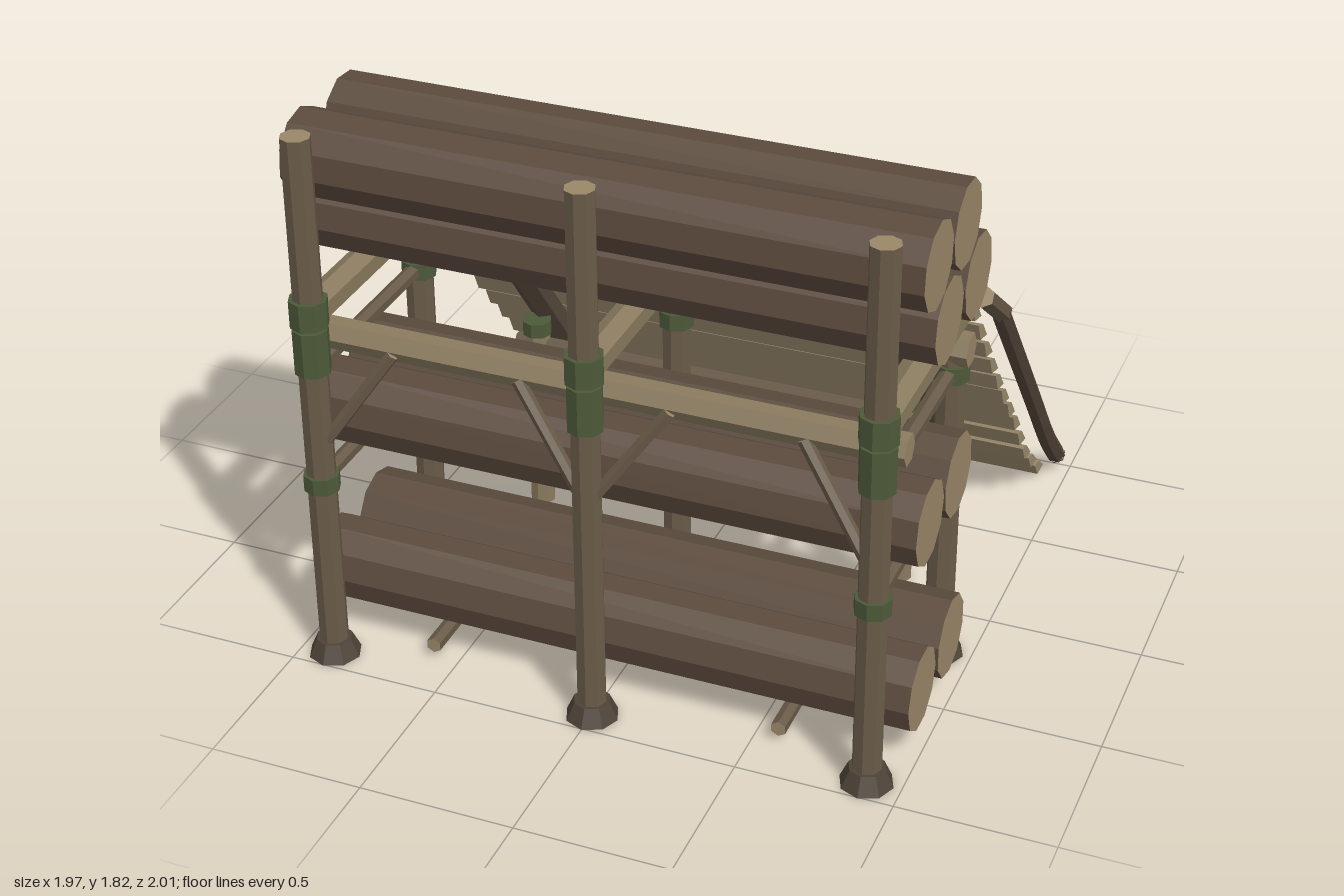
import * as THREE from 'three';

const mat = (color, side = THREE.FrontSide) =>
  new THREE.MeshStandardMaterial({ color, flatShading: true, side });
const bark = mat(0x5c4b3e), cut = mat(0x9a8768), post = mat(0x695b48), beam = mat(0x8a7b5f);
const plank = mat(0x9a8a6d), dark = mat(0x55473a), binding = mat(0x4c5938), foot = mat(0x4e4338);
const V = (x, y, z) => new THREE.Vector3(x, y, z);

export function createModel() {
  const root = new THREE.Group();

  const add = (name, geometry, material) => {
    const m = new THREE.Mesh(geometry, material);
    m.name = name;
    root.add(m);
    return m;
  };
  // Round timber between two points, with paler sawn ends
  const rod = (name, a, b, r, sides, material, r2 = r, ends = cut) => {
    const d = b.clone().sub(a);
    const m = add(name, new THREE.CylinderGeometry(r2, r, d.length(), sides), [material, ends, ends]);
    m.position.copy(a).add(b).multiplyScalar(0.5);
    m.quaternion.setFromUnitVectors(V(0, 1, 0), d.normalize());
    return m;
  };
  const wrap = (name, x, y, z, r, h) =>
    rod(name, V(x, y - h / 2, z), V(x, y + h / 2, z), r, 8, binding, r, binding);

  // Stacked logs
  const logs = [[0.70, 0.215], [0.41, 0.215], [0.70, 0.81], [0.42, 0.81],
    [0.60, 1.43], [0.315, 1.43], [0.73, 1.67], [0.455, 1.665]];
  logs.forEach(([z, y], i) => {
    const log = rod('log', V(-0.985, y, z), V(0.985, y, z), 0.135, 10, bark);
    log.rotateY(i * 0.35);
  });

  // Rack posts, feet and top beams
  for (const x of [-0.89, 0, 0.89]) {
    rod('frontPost', V(x, 0, 0.92), V(x, 1.815, 0.92), 0.047, 8, post);
    rod('backPost', V(x, 0, 0.215), V(x, 1.12, 0.215), 0.047, 8, post);
    for (const z of [0.92, 0.215])
      rod('postFoot', V(x, 0, z), V(x, 0.06, z), 0.085, 8, foot, 0.058, foot);
    rod('topBeam', V(x, 1.235, 0.9), V(x, 1.235, 0.16), 0.052, 6, beam);
    wrap('upperBinding', x, 1.24, 0.92, 0.061, 0.09);
    wrap('upperBinding', x, 1.11, 0.92, 0.057, 0.15);
    wrap('backBinding', x, 1.04, 0.215, 0.058, 0.055);
  }

  // Side shelf beams
  for (const x of [-0.89, 0.89]) {
    for (const y of [1.04, 0.65])
      rod('shelfBeam', V(x, y, 0.92), V(x, y, 0.18), 0.026, 6, post);
    for (const z of [0.92, 0.215]) wrap('shelfBinding', x, 0.648, z, 0.058, 0.055);
  }

  // Cross beams along the rack
  rod('frontCrossBeam', V(-0.95, 1.12, 0.82), V(0.95, 1.12, 0.82), 0.05, 6, beam);
  rod('backCrossBeam', V(-0.95, 1.12, 0.22), V(0.95, 1.12, 0.22), 0.055, 6, beam);

  // Diagonal braces on the front posts
  for (const s of [-1, 1]) {
    rod('centreBrace', V(s * 0.02, 0.8, 0.92), V(s * 0.24, 1.11, 0.86), 0.021, 6, post);
    rod('sideBrace', V(s * 0.86, 0.8, 0.92), V(s * 0.65, 1.11, 0.86), 0.021, 6, post);
  }

  for (const s of [-1, 1]) {
    // Ground skids, ramp stringers and ramp posts
    rod('groundSkid', V(s * 0.58, 0.05, 0.84), V(s * 0.58, 0.05, 0.28), 0.026, 6, post);
    const x = s * 0.645;
    rod('rampStringer', V(x, 1.2, 0.165), V(x, 0.2, -0.61), 0.052, 6, dark);
    rod('rampPost', V(x, 0, -0.14), V(x, 0.7, -0.14), 0.043, 8, beam);
    rod('rampPost', V(x, 0, -0.48), V(x, 0.3, -0.48), 0.04, 8, beam);
    wrap('rampPostBinding', x, 0.685, -0.135, 0.05, 0.05);
    wrap('rampPostBinding', x, 0.275, -0.475, 0.05, 0.05);

    // Curved ramp side rail
    const rx = s * 0.952;
    rod('railTop', V(rx, 1.255, 0.125), V(rx, 1.085, -0.1), 0.035, 6, post);
    const path = [[1.1, -0.08], [0.86, -0.28], [0.5, -0.58], [0.2, -0.83], [0.055, -0.975]];
    const curve = new THREE.CatmullRomCurve3(path.map(([y, z]) => V(rx, y, z)));
    add('rampRail', new THREE.TubeGeometry(curve, 14, 0.033, 6), dark);
    const end = curve.getPoint(1), dir = curve.getTangent(1);
    rod('railEnd', end.clone().addScaledVector(dir, -0.01),
      end.clone().addScaledVector(dir, 0.004), 0.033, 6, dark);
  }
  rod('rampTie', V(-0.72, 0.62, -0.14), V(0.72, 0.62, -0.14), 0.022, 6, post);
  rod('rampTie', V(-0.72, 0.2, -0.48), V(0.72, 0.2, -0.48), 0.022, 6, post);

  // Ramp slats, overlapping like louvres and flattening towards the ground
  const slatShape = new THREE.Shape([[0.052, 0.035], [0.02, -0.032], [-0.052, -0.05], [0, 0.014]]
    .map(([u, v]) => new THREE.Vector2(u, v)));
  const slatGeo = new THREE.ExtrudeGeometry(slatShape, { depth: 1.83, bevelEnabled: false });
  slatGeo.translate(0, 0, -0.915).rotateY(-Math.PI / 2);
  const slatLine = new THREE.CatmullRomCurve3([V(0, 1.165, 0.05), V(0, 1.055, -0.03),
    V(0, 0.71, -0.3), V(0, 0.43, -0.54), V(0, 0.235, -0.69), V(0, 0.06, -0.885)]);
  for (let i = 0; i < 12; i++) {
    const slat = add('rampSlat', slatGeo, plank);
    slat.position.copy(slatLine.getPointAt(i / 11));
    slat.rotation.x = Math.max(0, i - 7) * 0.05;
  }

  // Release lever with its bracket and hanging cord
  rod('lever', V(0, 1.22, 0.12), V(0, 1.59, 0.147), 0.024, 6, post);
  for (const s of [-1, 1]) {
    const cheek = add('leverBracket', new THREE.BoxGeometry(0.03, 0.07, 0.1), dark);
    cheek.position.set(s * 0.055, 1.255, 0.1);
  }
  rod('leverPin', V(-0.075, 1.265, 0.115), V(0.075, 1.265, 0.115), 0.014, 6, dark);
  const cord = new THREE.CatmullRomCurve3([V(0, 1.55, 0.13), V(0, 1.52, 0.1),
    V(0, 1.46, 0.065), V(0.01, 1.36, 0.04)]);
  add('leverCord', new THREE.TubeGeometry(cord, 8, 0.006, 5), dark);

  return root;
}
